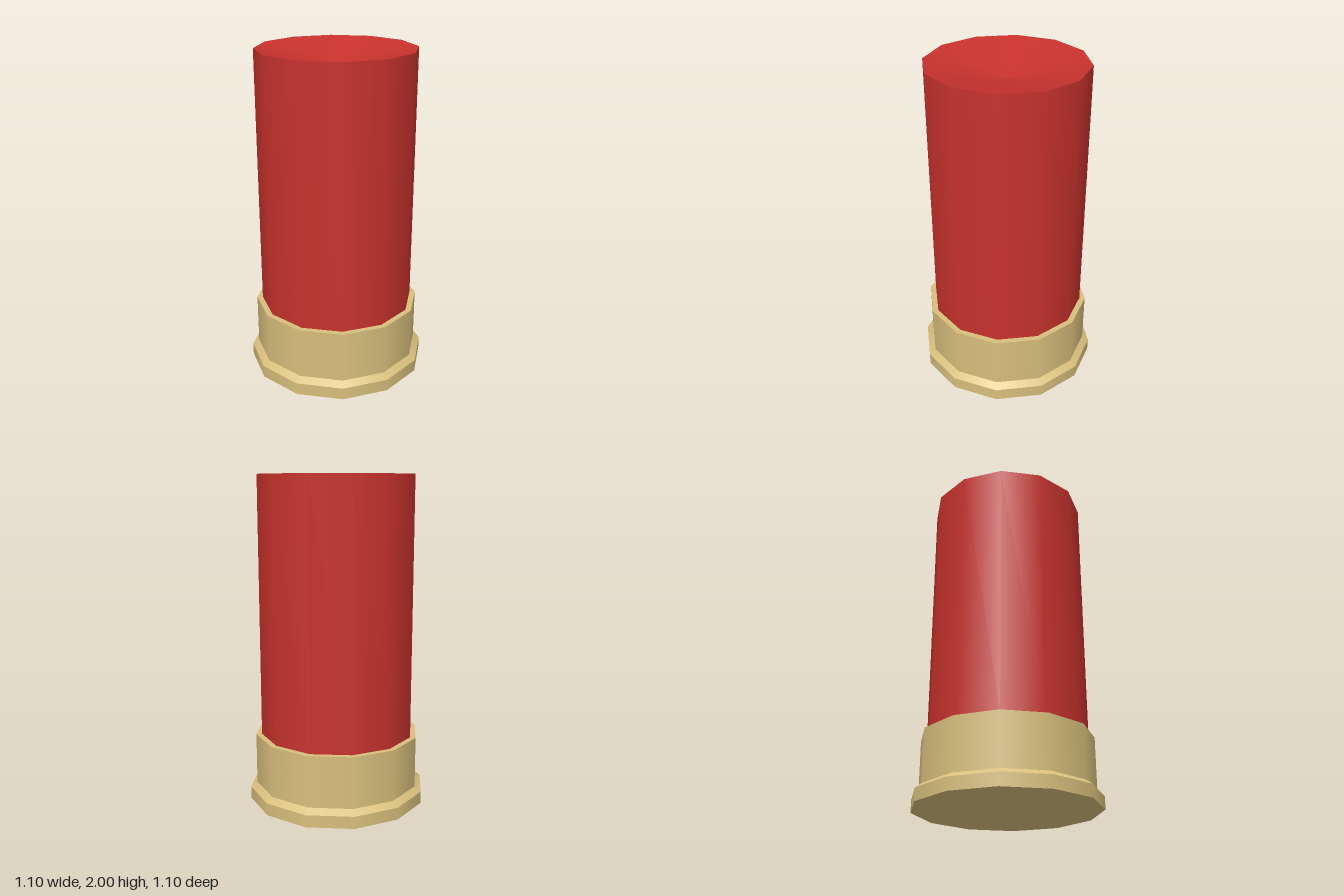
import * as THREE from 'three';
import { mergeGeometries } from 'three/addons/utils/BufferGeometryUtils.js';

const SIDES = 12;

// Each profile is one smooth band; creases fall between the bands
function turned(name, color, bands) {
  const geometry = mergeGeometries(bands.map((band) =>
    new THREE.LatheGeometry(band.map(([r, y]) => new THREE.Vector2(r, y)), SIDES)));
  const mesh = new THREE.Mesh(geometry, new THREE.MeshStandardMaterial({ color }));
  mesh.name = name;
  return mesh;
}

export function createModel() {
  const model = new THREE.Group();
  model.name = 'shotgunShell';

  // Brass base: flat bottom, rim, chamfer, wall and top ledge
  model.add(turned('brassBase', 0xd8bf7c, [
    [[0, 0], [0.55, 0]],
    [[0.55, 0], [0.55, 0.075]],
    [[0.55, 0.075], [0.51, 0.105]],
    [[0.51, 0.105], [0.51, 0.42]],
    [[0.51, 0.42], [0.475, 0.42]],
  ]));

  // Red hull with a shallow dished end
  model.add(turned('hull', 0xc8322d, [
    [[0.475, 0.42], [0.475, 2]],
    [[0.475, 2], [0.155, 1.93], [0, 1.9]],
  ]));

  return model;
}
